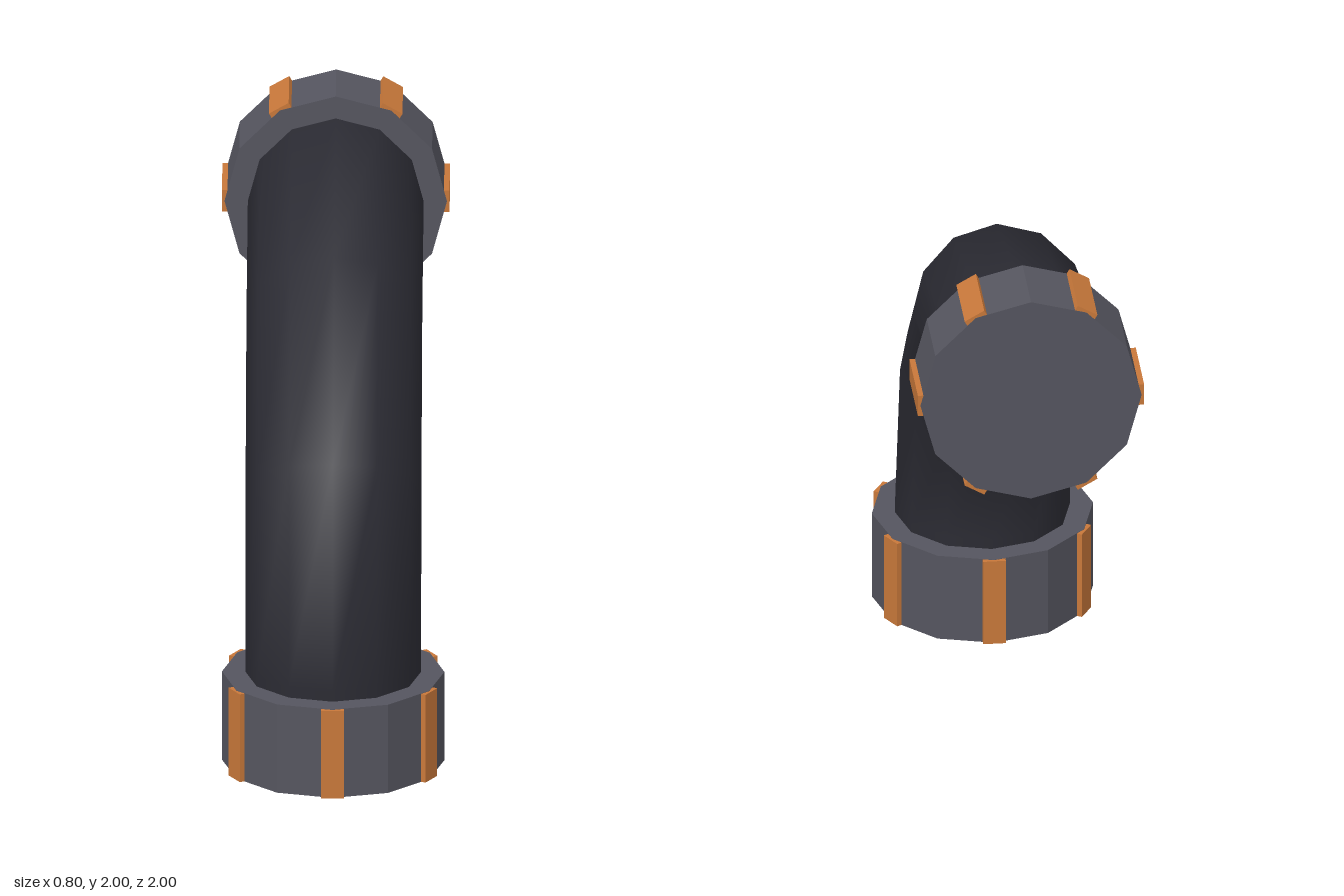
import * as THREE from 'three';

const SIDES = 12;

function named(geometry, material, name) {
  const mesh = new THREE.Mesh(geometry, material);
  mesh.name = name;
  return mesh;
}

// Faceted copy of a geometry
function faceted(geometry) {
  const flat = geometry.toNonIndexed();
  flat.computeVertexNormals();
  return flat;
}

// Round tube through rings in the yz plane: [z, y, turn in degrees]
function bentTube(rings, radius) {
  const positions = [], normals = [], index = [];
  rings.forEach(([z, y, turn], i) => {
    const t = THREE.MathUtils.degToRad(turn);
    for (let j = 0; j <= SIDES; j++) {
      const a = (j / SIDES) * Math.PI * 2;
      const n = [Math.cos(a), Math.sin(a) * Math.sin(t), Math.sin(a) * Math.cos(t)];
      normals.push(...n);
      positions.push(n[0] * radius, y + n[1] * radius, z + n[2] * radius);
      if (i < rings.length - 1 && j < SIDES) {
        const p = i * (SIDES + 1) + j, q = p + SIDES + 1;
        index.push(p, q, p + 1, q, q + 1, p + 1);
      }
    }
  });
  const geometry = new THREE.BufferGeometry();
  geometry.setAttribute('position', new THREE.Float32BufferAttribute(positions, 3));
  geometry.setAttribute('normal', new THREE.Float32BufferAttribute(normals, 3));
  geometry.setIndex(index);
  return geometry;
}

export function createModel() {
  const pipeBlack = new THREE.MeshStandardMaterial({ color: 0x2b2b33 });
  pipeBlack.name = 'pipeBlack';
  const collarGrey = new THREE.MeshStandardMaterial({ color: 0x55555f });
  collarGrey.name = 'collarGrey';
  const gripOrange = new THREE.MeshStandardMaterial({ color: 0xc8783a });
  gripOrange.name = 'gripOrange';

  const model = new THREE.Group();
  model.name = 'pipeElbow';

  // Bent pipe, ending inside both collars
  const rings = [
    [0.6, 0.1, 0], [0.6, 0.365, 0], [0.435, 0.986, 30],
    [-0.021, 1.442, 60], [-0.72, 1.608, 90], [-0.9, 1.608, 90],
  ];
  model.add(named(bentTube(rings, 0.309), pipeBlack, 'pipe'));

  // Twelve-sided collar with six grip strips on alternate corners
  function collar(name, length, phase) {
    const group = new THREE.Group();
    group.name = name;
    const body = new THREE.CylinderGeometry(0.391, 0.391, length, SIDES);
    body.translate(0, length / 2, 0);
    group.add(named(faceted(body), collarGrey, name + 'Body'));
    for (let i = 0; i < 6; i++) {
      const strip = new THREE.BoxGeometry(0.08, length - 0.002, 0.04);
      strip.translate(0, length / 2, 0.38);
      strip.rotateY(phase + (i * Math.PI) / 3);
      group.add(named(strip, gripOrange, name + 'Grip'));
    }
    model.add(group);
    return group;
  }

  collar('lowerCollar', 0.33, 0).position.set(0, 0, 0.6);

  const upper = collar('upperCollar', 0.278, Math.PI / 6);
  upper.rotation.x = -Math.PI / 2;
  upper.position.set(0, 1.608, -0.722);

  return model;
}
